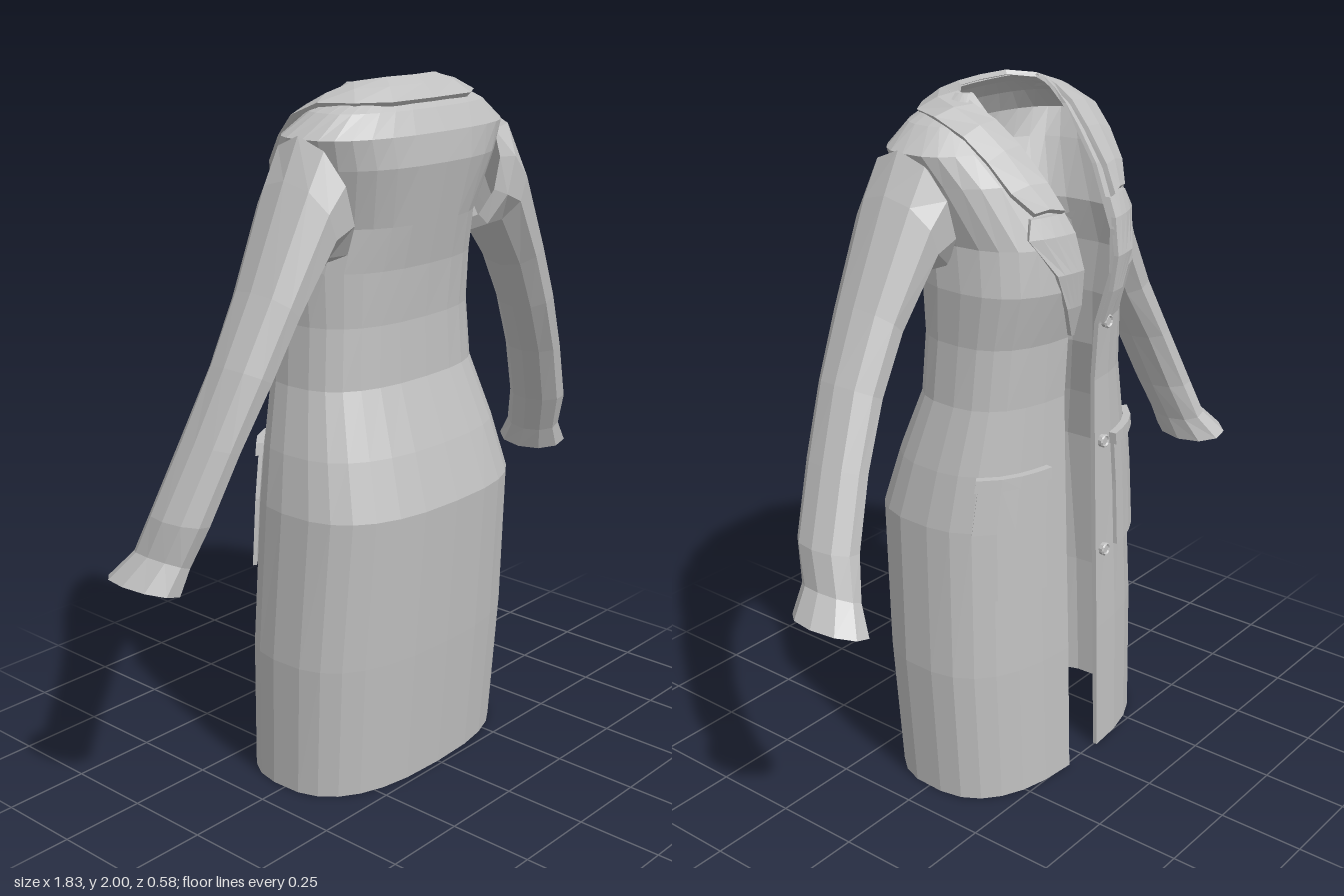
import * as THREE from 'three';

const cloth = new THREE.MeshStandardMaterial({ color: 0xc0c0c0, side: THREE.DoubleSide, flatShading: true });
cloth.name = 'grey cloth';

const V = (x, y, z) => new THREE.Vector3(x, y, z);
const mix = THREE.MathUtils.lerp;

// Coat body by height: [y, half width, back z, opening-side z, half gap of the opening]
const BODY = [
  [0, 0.41, 0.235, -0.26, 0.07], [0.4, 0.42, 0.265, -0.25, 0.07],
  [0.84, 0.4, 0.295, -0.235, 0.07], [1.0, 0.37, 0.245, -0.23, 0.07],
  [1.18, 0.325, 0.178, -0.225, 0.07], [1.35, 0.31, 0.172, -0.235, 0.07],
  [1.5, 0.315, 0.185, -0.278, 0.075], [1.62, 0.3, 0.21, -0.272, 0.085],
  [1.78, 0.345, 0.243, -0.185, 0.12], [1.86, 0.375, 0.235, -0.115, 0.14],
  [1.92, 0.3, 0.2, -0.06, 0.155], [1.96, 0.21, 0.165, -0.03, 0.155],
  [1.985, 0.175, 0.125, 0, 0.15],
];
const N = 2.6; // squareness of the cross-section

function section(y) {
  let i = 0;
  while (i < BODY.length - 2 && y > BODY[i + 1][0]) i++;
  const a = BODY[i], b = BODY[i + 1], t = (y - a[0]) / (b[0] - a[0]);
  const [, w, back, front, gap] = a.map((v, k) => mix(v, b[k], t));
  return { w, gap, c: (back + front) / 2, d: (back - front) / 2 };
}

// Point on the body at height y, from unit section coordinates, pushed out by off
function onBody(s, y, ux, uz, off) {
  const n = V(Math.sign(ux) * Math.abs(ux) ** (N - 1) / s.w, 0, Math.sign(uz) * Math.abs(uz) ** (N - 1) / s.d).normalize();
  return V(ux * s.w, y, s.c + uz * s.d).addScaledVector(n, off);
}

function frontPoint(x, y, off) {
  const s = section(y), ux = x / s.w;
  return onBody(s, y, ux, -((1 - Math.abs(ux) ** N) ** (1 / N)), off);
}

// Skin over rows of points
function loft(name, rows, closed, flip = false) {
  const pos = [], n = rows[0].length;
  const tri = (a, b, c) => {
    if (b.clone().sub(a).cross(c.clone().sub(a)).length() < 1e-9) return;
    for (const p of flip ? [a, c, b] : [a, b, c]) pos.push(p.x, p.y, p.z);
  };
  for (let j = 0; j < rows.length - 1; j++) {
    for (let i = 0; i < (closed ? n : n - 1); i++) {
      const k = (i + 1) % n, r = rows[j], q = rows[j + 1];
      tri(r[i], r[k], q[k]);
      tri(r[i], q[k], q[i]);
    }
  }
  const g = new THREE.BufferGeometry();
  g.setAttribute('position', new THREE.Float32BufferAttribute(pos, 3));
  g.computeVertexNormals();
  const mesh = new THREE.Mesh(g, cloth);
  mesh.name = name;
  return mesh;
}

// Thick cloth between outer and inner rows, closed on every edge
function slab(name, outer, inner, flip) {
  const rows = outer.map((o, j) => [...o, ...[...inner[j]].reverse()]);
  const shut = (r) => [...r, ...[...r].reverse()];
  return loft(name, [shut(inner[0]), ...rows, shut(inner[inner.length - 1])], true, flip);
}

// Panel lying on the opening side of the body; span(y, j) gives its x limits
function panel(name, side, ys, span, lift, cols = 4) {
  const make = (off) => ys.map((y, j) => {
    const [x0, x1] = span(y, j);
    return Array.from({ length: cols + 1 }, (_, i) => frontPoint(side * mix(x0, x1, i / cols), y, off));
  });
  return slab(name, make(lift), make(0.002), side > 0);
}

function bodyRows(off) {
  const steps = 26;
  return BODY.map(([y]) => {
    const s = section(y), end = Math.PI - Math.asin((s.gap / s.w) ** (N / 2));
    return Array.from({ length: steps + 1 }, (_, i) => {
      const t = mix(-end, end, i / steps), sn = Math.sin(t), cs = Math.cos(t);
      return onBody(s, y, Math.sign(sn) * Math.abs(sn) ** (2 / N), Math.sign(cs) * Math.abs(cs) ** (2 / N), off);
    });
  });
}

// Sleeve rings: [outer x, outer y, inner x, inner y, back z, front z]
const SLEEVE = [
  [0.36, 1.85, 0.28, 1.56, 0.17, -0.04], [0.39, 1.872, 0.285, 1.53, 0.21, -0.065],
  [0.445, 1.765, 0.355, 1.545, 0.208, -0.06], [0.57, 1.5, 0.465, 1.405, 0.185, -0.035],
  [0.66, 1.32, 0.545, 1.26, 0.165, -0.035], [0.745, 1.13, 0.635, 1.1, 0.135, -0.06],
  [0.83, 0.94, 0.71, 0.92, 0.1, -0.095], [0.852, 0.84, 0.755, 0.8, 0.06, -0.13],
  [0.915, 0.77, 0.77, 0.73, 0.055, -0.185],
  // turned-in lining
  [0.9, 0.773, 0.785, 0.74, 0.04, -0.17], [0.84, 0.85, 0.765, 0.82, 0.045, -0.115],
  [0.815, 0.94, 0.725, 0.925, 0.085, -0.08],
];

function sleeve(side) {
  const rows = SLEEVE.map(([ox, oy, ix, iy, zb, zf]) => Array.from({ length: 10 }, (_, i) => {
    const a = (i / 10) * Math.PI * 2, t = (1 + Math.cos(a)) / 2;
    return V(side * mix(ix, ox, t), mix(iy, oy, t), (zb + zf) / 2 + Math.sin(a) * (zb - zf) / 2);
  }));
  return loft(side > 0 ? 'leftSleeve' : 'rightSleeve', rows, true, side < 0);
}

// Turned-down collar: fold line and loose edge, back centre to notch
function collar() {
  const fold = [[0, 2, 0.125], [0.1, 2, 0.115], [0.165, 1.99, 0.06], [0.175, 1.965, 0],
    [0.163, 1.93, -0.065], [0.146, 1.87, -0.13], [0.13, 1.78, -0.207], [0.112, 1.71, -0.25]];
  const edge = [[0, 1.945, 0.197], [0.16, 1.945, 0.192], [0.245, 1.945, 0.135], [0.285, 1.943, 0.04],
    [0.285, 1.905, -0.055], [0.267, 1.845, -0.12], [0.245, 1.77, -0.178], [0.2, 1.715, -0.22]];
  const full = (pts) => [
    ...pts.slice(1).reverse().map(([x, y, z]) => V(-x, y, z)), ...pts.map((p) => V(...p))];
  const top = full(fold), low = full(edge);
  const mid = top.map((p, i) => p.clone().lerp(low[i], 0.5).add(V(0, 0.008, 0)));
  const outer = [low, mid, top];
  const under = outer.map((r) => r.map((p) => V(p.x * 0.97, p.y - 0.012, p.z * 0.95)));
  return slab('collar', outer, under);
}

export function createModel() {
  const coat = new THREE.Group();
  coat.name = 'coat';
  coat.add(slab('coatBody', bodyRows(0), bodyRows(-0.014)), collar());

  for (const side of [1, -1]) {
    const label = side > 0 ? 'left' : 'right';
    coat.add(sleeve(side));

    // Lapel widening up to the notch
    const width = [0.008, 0.05, 0.085, 0.13, 0.1];
    coat.add(panel(label + 'Lapel', side, [1.36, 1.45, 1.55, 1.65, 1.7], (y, j) => {
      const { gap } = section(y);
      return [gap - 0.003, gap + width[j]];
    }, 0.016));

    // Patch pocket with a raised top band
    const pocketSpan = (y) => [0.41 * section(y).w, 0.89 * section(y).w];
    coat.add(panel(label + 'Pocket', side, [0.64, 0.84, 0.97], pocketSpan, 0.014));
    coat.add(panel(label + 'PocketBand', side, [0.965, 1.0], (y) => {
      const [a, b] = pocketSpan(y);
      return [a - 0.005, b + 0.005];
    }, 0.024));
  }

  // Buttons beside the opening, each with a raised rim
  for (const y of [0.65, 0.99, 1.35]) {
    const button = new THREE.Group();
    button.name = 'button';
    const disc = new THREE.Mesh(new THREE.CylinderGeometry(0.019, 0.019, 0.012, 10).rotateX(Math.PI / 2), cloth);
    disc.name = 'buttonDisc';
    const rim = new THREE.Mesh(new THREE.TorusGeometry(0.016, 0.004, 4, 10), cloth);
    rim.name = 'buttonRim';
    rim.position.z = -0.006;
    button.add(disc, rim);
    button.position.copy(frontPoint(-0.105, y, 0.006));
    coat.add(button);
  }
  return coat;
}
